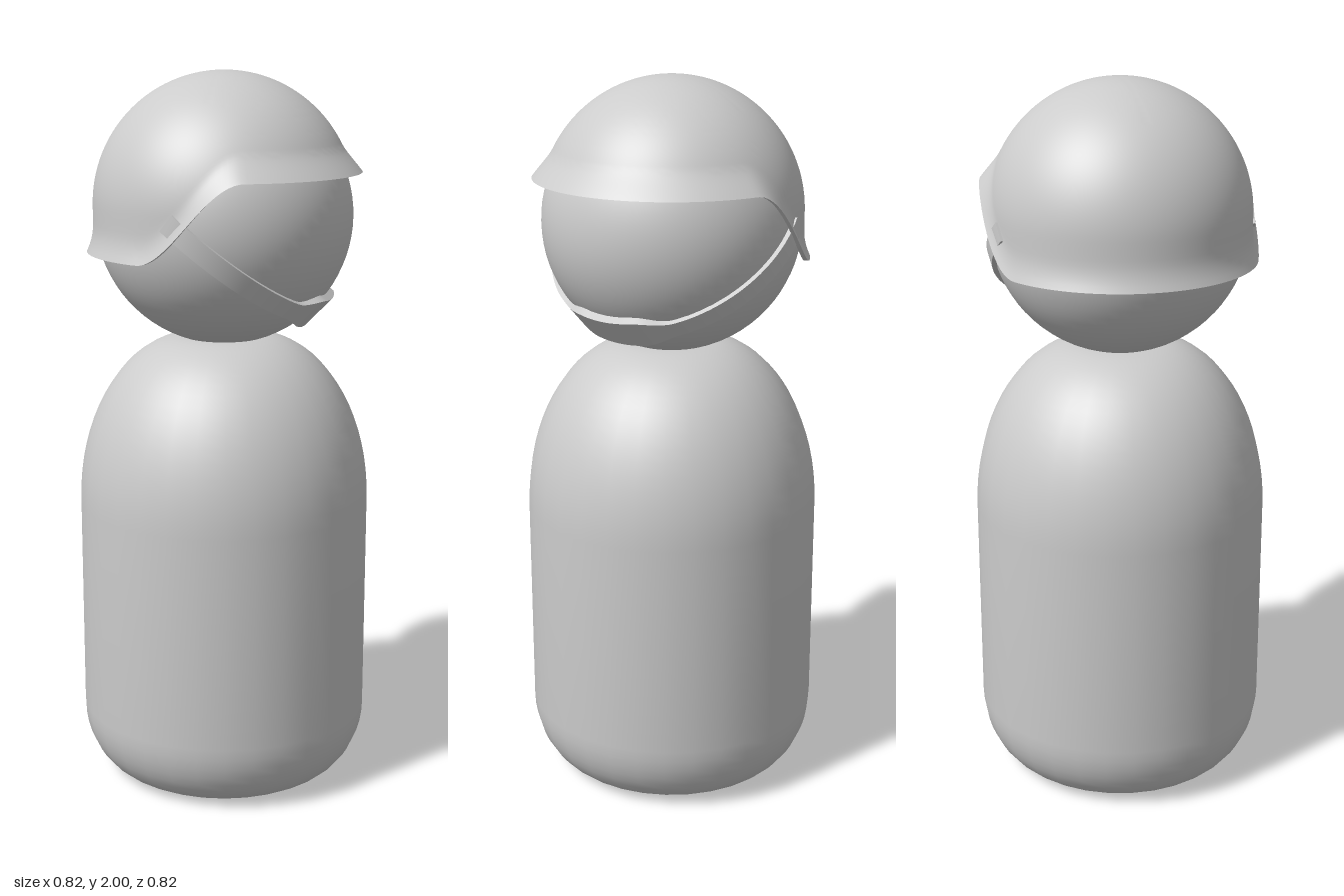
import * as THREE from 'three';
import { toCreasedNormals } from 'three/addons/utils/BufferGeometryUtils.js';

const material = new THREE.MeshStandardMaterial({ color: 0xcccccc });

function part(name, geometry) {
  const mesh = new THREE.Mesh(geometry, material);
  mesh.name = name;
  return mesh;
}

// Skin a list of equally long point loops; neighbouring loops are joined by quads.
function skin(rings, closeU, closeV) {
  const nu = rings.length, nv = rings[0].length;
  const index = [];
  for (let u = 0; u < (closeU ? nu : nu - 1); u++) {
    for (let v = 0; v < (closeV ? nv : nv - 1); v++) {
      const u2 = (u + 1) % nu, v2 = (v + 1) % nv;
      const a = u * nv + v, b = u2 * nv + v, c = u2 * nv + v2, d = u * nv + v2;
      index.push(a, b, d, b, c, d);
    }
  }
  const geometry = new THREE.BufferGeometry().setFromPoints(rings.flat());
  geometry.setIndex(index);
  return toCreasedNormals(geometry, 0.8);
}

// Peg body: flat foot, rounded lower edge, straight wall, domed shoulders
function makeBody() {
  const points = [new THREE.Vector2(0, 0)];
  const arc = (cx, cy, a, b, from, to, n) => {
    for (let i = 0; i <= n; i++) {
      const t = from + (to - from) * i / n;
      points.push(new THREE.Vector2(cx + a * Math.cos(t), cy + b * Math.sin(t)));
    }
  };
  arc(0.27, 0.2, 0.14, 0.2, -Math.PI / 2, 0, 10);
  arc(0.1, 0.8, 0.31, 0.475, 0, Math.PI / 2, 18);
  points.push(new THREE.Vector2(0, 1.275));
  return part('body', toCreasedNormals(new THREE.LatheGeometry(points, 32), 0.6));
}

// Helmet: dome whose rim is high over the face (+x), steps down at the ears and flares out
function makeHelmet() {
  const R = 0.36, cy = 1.64, lip = 0.378, thickness = 0.012, N = 48, segments = 144;
  const rings = [];
  for (let i = 0; i < segments; i++) {
    const theta = i / segments * Math.PI * 2;
    const rimY = 1.513 + 0.217 * THREE.MathUtils.smoothstep(lip * Math.cos(theta), -0.17, 0.12);
    const at = (j, inset) => {
      const c = Math.cos(j / N * Math.PI / 2);
      const y = rimY + (cy + R - rimY) * c;
      const base = y > cy ? Math.sqrt(Math.max(0, R * R - (y - cy) ** 2)) : R;
      const flare = Math.max(0, 1 - (y - rimY) / 0.075) ** 2;
      const r = (base + (lip - base) * flare) * (1 - inset / R);
      return new THREE.Vector3(r * Math.cos(theta), y - inset * c, r * Math.sin(theta));
    };
    const ring = [];
    for (let j = 0; j <= N; j++) ring.push(at(j, 0));
    for (let j = N; j >= 0; j--) ring.push(at(j, thickness));
    rings.push(ring);
  }
  return part('helmet', skin(rings, true, false));
}

// Chin strap: tilted band around the face, widening into a chin cup
function makeStrap() {
  const centre = new THREE.Vector3(0, 1.61, 0);
  const along = new THREE.Vector3(0.774, -0.633, 0);
  const across = new THREE.Vector3(0.633, 0.774, 0);
  const side = new THREE.Vector3(0, 0, 1);
  const end = THREE.MathUtils.degToRad(102), N = 72;
  const rings = [];
  const addRing = (phi, cap) => {
    const wide = 1 - THREE.MathUtils.smoothstep(Math.abs(phi), 0.22, 0.52);
    const outer = 0.368 + 0.009 * wide;
    const top = cap ? -0.04 : -0.013 + 0.033 * wide;
    const bottom = cap ? -0.04 : -0.067 - 0.017 * wide;
    const corner = (radius, n) => {
      const r = Math.sqrt(radius * radius - n * n);
      return centre.clone()
        .addScaledVector(along, r * Math.cos(phi))
        .addScaledVector(side, r * Math.sin(phi))
        .addScaledVector(across, n);
    };
    const out = cap ? 0.36 : outer, inn = cap ? 0.36 : 0.35;
    rings.push([corner(out, top), corner(out, bottom), corner(inn, bottom), corner(inn, top)]);
  };
  addRing(-end, true);
  for (let i = 0; i <= N; i++) addRing(-end + 2 * end * i / N, false);
  addRing(end, true);
  return part('chinStrap', skin(rings, false, true));
}

export function createModel() {
  const model = new THREE.Group();
  model.name = 'helmetedPegFigure';

  const head = part('head', new THREE.SphereGeometry(0.355, 64, 40));
  head.position.y = 1.61;

  model.add(makeBody(), head, makeHelmet(), makeStrap());
  return model;
}
